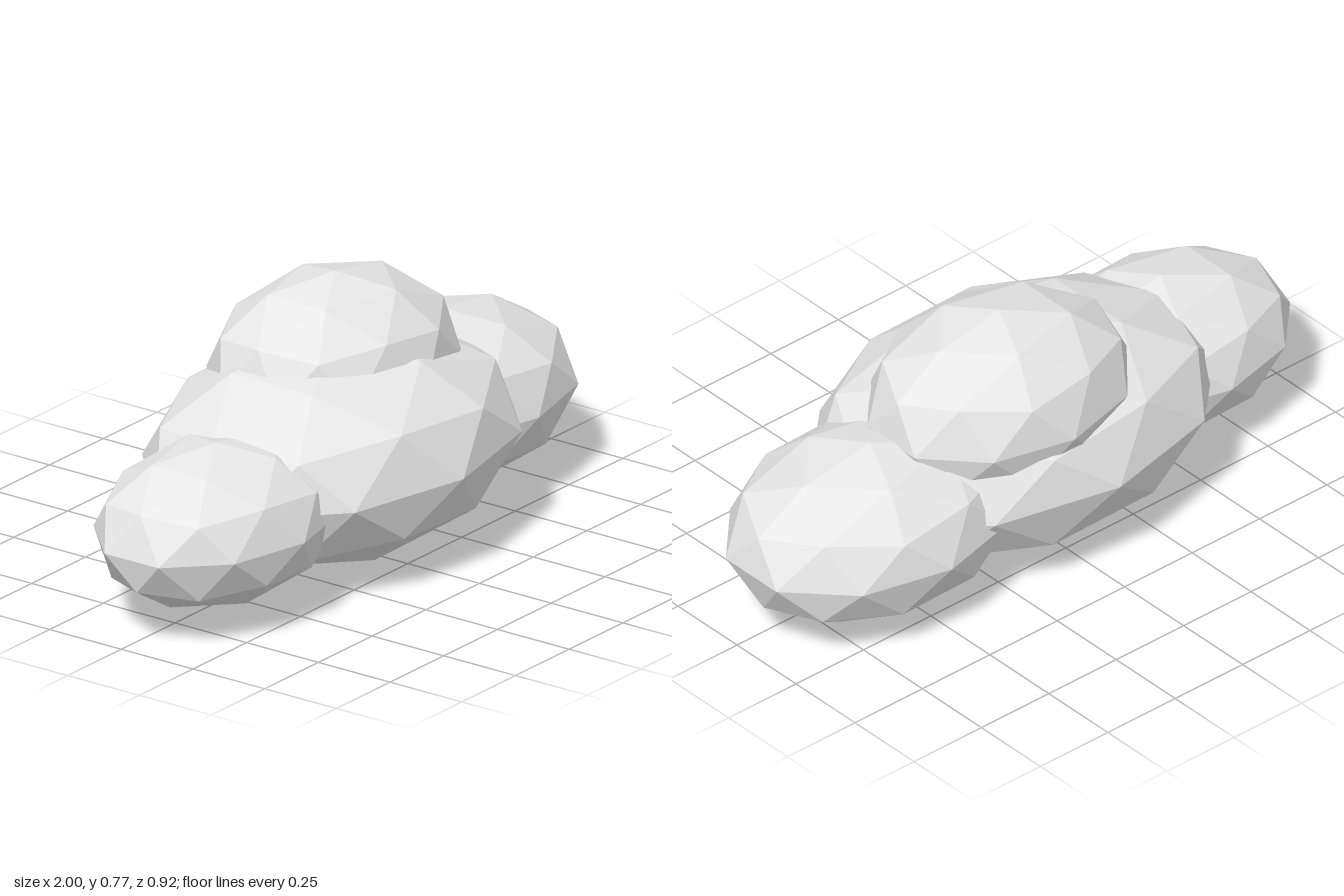
import * as THREE from 'three';

export function createModel() {
  const group = new THREE.Group();
  group.name = 'cloud';

  const paleGrey = new THREE.MeshStandardMaterial({ color: 0xe7e7e7, flatShading: true });
  paleGrey.name = 'pale grey';

  // Faceted puff: an icosphere tipped so that one corner points straight up
  const tilt = -Math.atan(2 / (1 + Math.sqrt(5)));
  function puff(name, center, radii) {
    const geometry = new THREE.IcosahedronGeometry(1, 1);
    geometry.rotateZ(tilt);
    geometry.scale(...radii);
    geometry.computeVertexNormals();
    const mesh = new THREE.Mesh(geometry, paleGrey);
    mesh.name = name;
    mesh.position.set(...center);
    group.add(mesh);
  }

  puff('middlePuff', [-0.02, 0.31, 0], [0.66, 0.31, 0.46]);
  puff('rightPuff', [-0.6, 0.273, 0.035], [0.42, 0.23, 0.305]);
  puff('leftPuff', [0.56, 0.27, -0.06], [0.463, 0.25, 0.348]);
  puff('topPuff', [0.1, 0.5, -0.08], [0.42, 0.27, 0.325]);

  return group;
}
